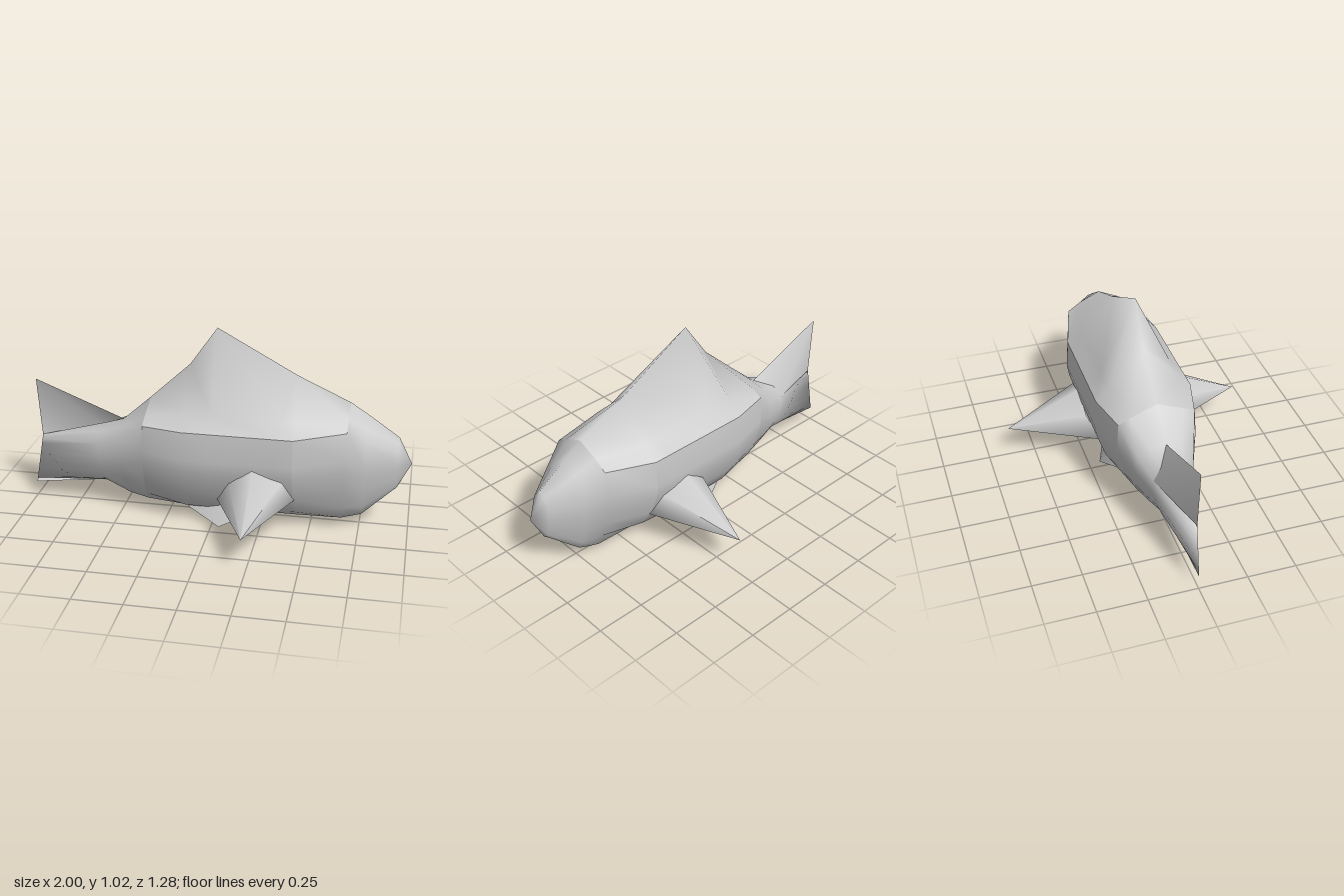
import * as THREE from 'three';
import { toCreasedNormals } from 'three/addons/utils/BufferGeometryUtils.js';

const material = new THREE.MeshStandardMaterial({ color: 0xcccccc });
const sheetMaterial = new THREE.MeshStandardMaterial({ color: 0xcccccc, side: THREE.DoubleSide });

function makeMesh(name, points, index, crease, mat = material) {
  const geometry = new THREE.BufferGeometry();
  geometry.setAttribute('position', new THREE.Float32BufferAttribute(points.flat(), 3));
  geometry.setIndex(index);
  const mesh = new THREE.Mesh(toCreasedNormals(geometry, crease), mat);
  mesh.name = name;
  return mesh;
}

// Cross-sections from tail to nose:
// x at top, x at bottom, ridge y, crest-foot y, z, shoulder y, half width, belly-edge y, z, keel y
const sections = [
  [-0.95, -1.0, 0.365, 0.34, 0, 0.31, 0, 0.1, 0, 0.08],
  [-0.62, -0.6, 0.455, 0.43, 0.055, 0.38, 0.105, 0.145, 0.03, 0.13],
  [-0.5, -0.46, 0.49, 0.475, 0.08, 0.44, 0.15, 0.09, 0.05, 0.08],
  [-0.35, -0.36, 0.625, 0.57, 0.14, 0.54, 0.205, 0.07, 0.06, 0.06],
  [-0.14, -0.14, 0.82, 0.615, 0.18, 0.545, 0.26, 0.057, 0.075, 0.02],
  [0, 0, 1.02, 0.625, 0.18, 0.545, 0.26, 0.055, 0.075, 0.02],
  [0.4, 0.23, 0.8, 0.62, 0.185, 0.545, 0.26, 0.055, 0.075, 0.02],
  [0.42, 0.42, 0.79, 0.62, 0.185, 0.545, 0.26, 0.055, 0.075, 0.035],
  [0.68, 0.66, 0.67, 0.62, 0.11, 0.575, 0.185, 0.058, 0.072, 0.06],
  [0.78, 0.76, 0.605, 0.56, 0.08, 0.51, 0.14, 0.078, 0.05, 0.072],
  [0.93, 0.93, 0.5, 0.475, 0.025, 0.44, 0.055, 0.23, 0.02, 0.22],
  [1, 1, 0.36, 0.36, 0, 0.36, 0, 0.36, 0, 0.36],
];

// Flank below the shoulder: [fraction of the way down, fraction of half width]
const flank = [[0, 0.96], [0.28, 1], [0.41, 0.96], [0.66, 0.79], [0.87, 0.53]];
const RING = 16;

function bodyPoints() {
  const points = [];
  for (const [xTop, xBottom, ridge, footY, footZ, shoulder, width, edgeY, edgeZ, keel] of sections) {
    const half = [[footY, footZ],
      ...flank.map(([f, w]) => [shoulder + (keel - shoulder) * f, width * w]), [edgeY, edgeZ]];
    const mirrored = half.map(([y, z]) => [y, -z]).reverse();
    for (const [y, z] of [[ridge, 0], ...half, [keel, 0], ...mirrored]) {
      const t = ridge > keel ? (ridge - y) / (ridge - keel) : 0;
      points.push([xTop + (xBottom - xTop) * t, y, z]);
    }
  }
  return points;
}

// Smooth skin over blocks of [first section, last section, first column, last column]
function makeSkin(name, points, blocks) {
  const index = [];
  for (const [i0, i1, j0, j1] of blocks) {
    for (let i = i0; i < i1; i++) {
      for (let j = j0; j < j1; j++) {
        const a = i * RING + j % RING, d = i * RING + (j + 1) % RING;
        index.push(a, d, d + RING, a, d + RING, a + RING);
      }
    }
  }
  return makeMesh(name, points, index, Math.PI);
}

// Pointed fin: a ring of root points joined to one tip, side +1 or -1
function makeFin(name, root, tip, side) {
  const points = [...root, tip].map(([x, y, z]) => [x, y, z * side]);
  const index = [];
  root.forEach((_, j) => {
    const k = (j + 1) % root.length;
    index.push(...(side > 0 ? [j, k, root.length] : [k, j, root.length]));
  });
  return makeMesh(name, points, index, 1.6);
}

export function createModel() {
  const group = new THREE.Group();
  group.name = 'fish';

  // Body skin, with sharp edges only where the pieces meet
  const points = bodyPoints();
  group.add(
    makeSkin('tail', points, [[0, 3, 0, 16]]),
    makeSkin('dorsalCrest', points, [[3, 8, 14, 18]]),
    makeSkin('flanks', points, [[3, 7, 2, 7], [3, 7, 9, 14]]),
    makeSkin('belly', points, [[3, 8, 7, 9]]),
    makeSkin('head', points, [[7, 8, 2, 7], [7, 8, 9, 14], [8, 11, 0, 16]]),
  );

  // Upper tail lobe, an open sheet rising from the back flank
  group.add(makeMesh('upperTailLobe',
    [[-0.5, 0.49, 0], [-0.62, 0.38, -0.102], [-0.97, 0.68, 0], [-0.95, 0.36, 0]],
    [0, 1, 2, 1, 3, 2], Math.PI, sheetMaterial));

  // Paired side and belly fins
  const pectoralRoot = [[0.43, 0.2, 0.2], [0.37, 0.31, 0.24], [0.22, 0.37, 0.25],
    [0.1, 0.28, 0.24], [0.03, 0.16, 0.18], [0.2, 0.1, 0.14]];
  const pelvicRoot = [[0.23, 0.07, 0.11], [0.05, 0.12, 0.15], [-0.14, 0.07, 0.11], [0.05, 0.045, 0.07]];
  for (const [label, side] of [['front', 1], ['back', -1]]) {
    group.add(makeFin(label + 'PectoralFin', pectoralRoot, [0.23, 0.19, 0.64], side));
    group.add(makeFin(label + 'PelvicFin', pelvicRoot, [0.04, 0.003, 0.19], side));
  }
  return group;
}
